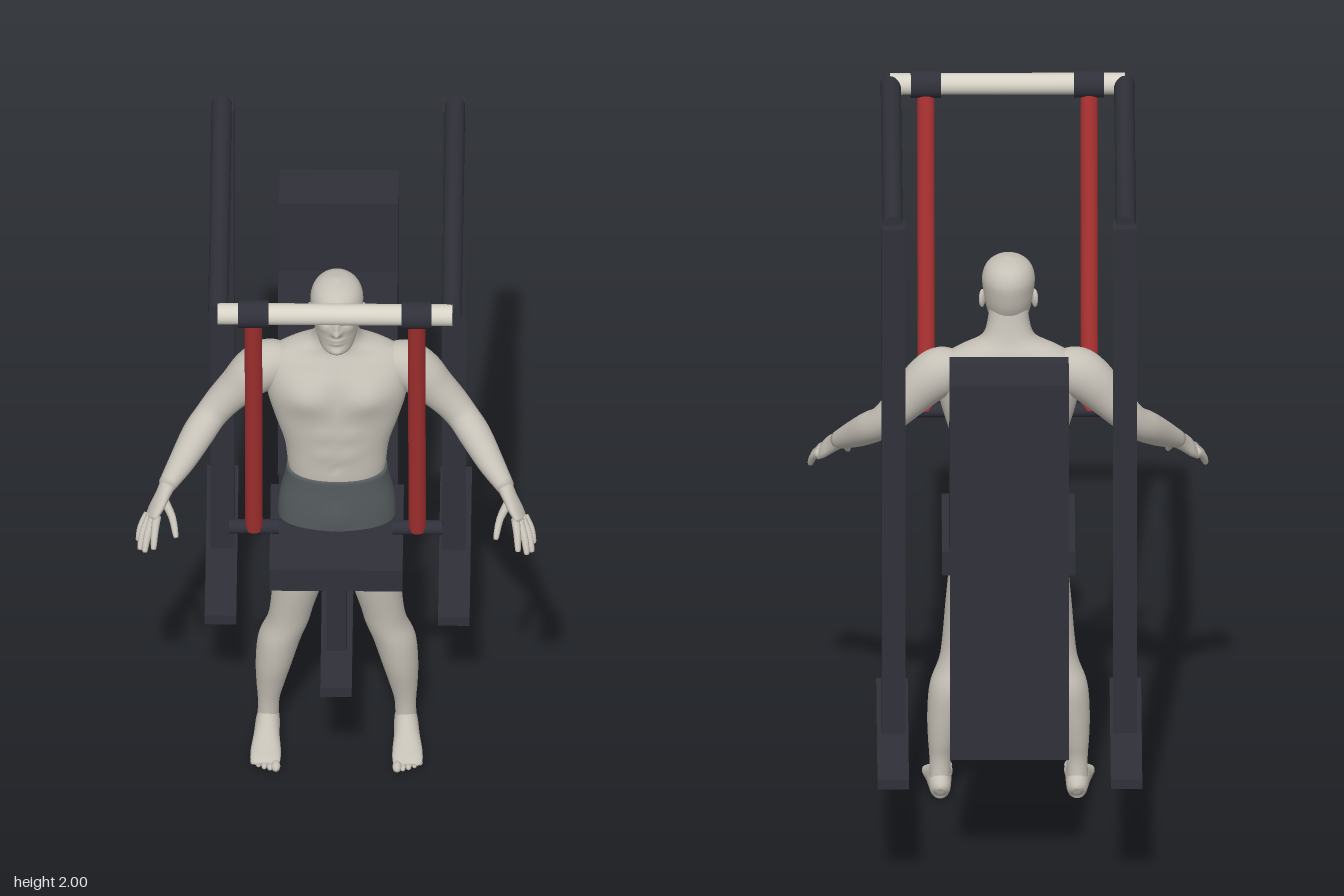
import * as THREE from 'three';

const mat = (name, color, extra = {}) => Object.assign(new THREE.MeshStandardMaterial({ color, ...extra }), { name });
const frame = mat('dark frame', 0x30303a);
const red = mat('red steel', 0xa93131);
const bar = mat('pale bar', 0xd6d2c6);
const skin = mat('grey skin', 0xc6c1b7);
const cloth = mat('dark cloth', 0x565d5f);

function add(parent, name, geometry, material, x = 0, y = 0, z = 0) {
  const mesh = new THREE.Mesh(geometry, material);
  mesh.name = name;
  mesh.position.set(x, y, z);
  parent.add(mesh);
  return mesh;
}

// Box given by its limits on each axis
function block(parent, name, material, [x0, x1], [y0, y1], [z0, z1]) {
  return add(parent, name, new THREE.BoxGeometry(x1 - x0, y1 - y0, z1 - z0), material,
    (x0 + x1) / 2, (y0 + y1) / 2, (z0 + z1) / 2);
}

// Round rod between two points
function rod(parent, name, material, from, to, radius) {
  const a = new THREE.Vector3(...from), b = new THREE.Vector3(...to);
  const d = b.clone().sub(a);
  const mesh = add(parent, name, new THREE.CylinderGeometry(radius, radius, d.length(), 28), material);
  mesh.position.copy(a).add(b).multiplyScalar(0.5);
  mesh.quaternion.setFromUnitVectors(new THREE.Vector3(0, 1, 0), d.normalize());
  return mesh;
}

// Smooth skin through rows of [x, y, z, half width, half depth]; level rings unless ref is given
function loft(rows, { ref = null, sides = 32, steps = 5, power = 2 } = {}) {
  const path = new THREE.CatmullRomCurve3(rows.map(r => new THREE.Vector3(r[0], r[1], r[2])), false, 'catmullrom');
  const size = new THREE.CatmullRomCurve3(rows.map(r => new THREE.Vector3(r[3], r[4], 0)), false, 'catmullrom');
  const n = (rows.length - 1) * steps, pos = [], index = [];
  const bend = c => Math.sign(c) * Math.abs(c) ** (2 / power);
  for (let i = 0; i <= n; i++) {
    const p = path.getPoint(i / n), s = size.getPoint(i / n);
    const t = ref ? path.getTangent(i / n) : new THREE.Vector3(0, 1, 0);
    const u = t.clone().cross(ref || new THREE.Vector3(0, 0, 1)).normalize();
    const v = u.clone().cross(t);
    for (let j = 0; j < sides; j++) {
      const a = (j / sides) * Math.PI * 2;
      const q = p.clone().addScaledVector(u, s.x * bend(Math.cos(a))).addScaledVector(v, s.y * bend(Math.sin(a)));
      pos.push(q.x, q.y, q.z);
      if (i < n) {
        const k = i * sides + j, m = i * sides + (j + 1) % sides;
        index.push(k, k + sides, m, m, k + sides, m + sides);
      }
    }
  }
  // End caps
  const first = pos.length / 3, top = n * sides;
  pos.push(...rows[0].slice(0, 3), ...rows[rows.length - 1].slice(0, 3));
  for (let j = 0; j < sides; j++) {
    const m = (j + 1) % sides;
    index.push(first, j, m, first + 1, top + m, top + j);
  }
  const g = new THREE.BufferGeometry();
  g.setAttribute('position', new THREE.Float32BufferAttribute(pos, 3));
  g.setIndex(index);
  g.computeVertexNormals();
  return g;
}

// Soft mirrored bumps [x, y, width, height, push, side]; side 1 is front, -1 is back
function sculpt(g, zMid, bumps) {
  const p = g.attributes.position;
  for (let i = 0; i < p.count; i++) {
    const x = Math.abs(p.getX(i)), y = p.getY(i), z = p.getZ(i);
    let dz = 0;
    for (const [bx, by, w, h, push, side] of bumps) {
      const facing = THREE.MathUtils.clamp((z - zMid) * side / 0.05, 0, 1);
      dz += side * push * facing * Math.exp(-(((x - bx) / w) ** 2) - ((y - by) / h) ** 2);
    }
    p.setZ(i, z + dz);
  }
  g.computeVertexNormals();
  return g;
}

function buildMachine() {
  const g = new THREE.Group();
  g.name = 'machine';
  for (const s of [-1, 1]) {
    // Side frame
    const span = (a, b) => (s > 0 ? [a, b] : [-b, -a]);
    block(g, 'frameFoot', frame, span(0.288, 0.378), [0.355, 0.386], [-0.69, -0.0 + 0.012]);
    block(g, 'upright', frame, span(0.296, 0.364), [0.37, 1.965], [-0.37, -0.302]);
    rod(g, 'topBeam', frame, [s * 0.333, 1.963, -0.34], [s * 0.333, 1.963, 0.643], 0.029);
    // Swinging arm
    rod(g, 'collar', frame, [s * 0.19, 1.963, 0.64], [s * 0.276, 1.963, 0.64], 0.04);
    rod(g, 'swingArm', red, [s * 0.233, 1.963, 0.64], [s * 0.233, 1.035, 0.435], 0.025);
    rod(g, 'handle', frame, [s * 0.162, 1.035, 0.432], [s * 0.304, 1.035, 0.432], 0.021);
  }
  rod(g, 'crossBar', bar, [-0.335, 1.963, 0.64], [0.335, 1.963, 0.64], 0.031);

  // Seat and backrest
  block(g, 'seat', frame, [-0.19, 0.19], [0.737, 0.811], [-0.055, 0.347]);
  block(g, 'seatPost', frame, [-0.029, 0.029], [0.37, 0.74], [0.116, 0.174]);
  block(g, 'seatFoot', frame, [-0.045, 0.045], [0.355, 0.386], [-0.24, 0.347]);
  block(g, 'backPost', frame, [-0.029, 0.029], [0.37, 1.15], [-0.234, -0.178]);
  const back = add(g, 'backrest', new THREE.BoxGeometry(0.34, 0.612, 0.086), frame, 0, 1.153, -0.132);
  back.rotation.x = -0.174;

  // Weight stack
  block(g, 'weightTower', frame, [-0.17, 0.17], [0.386, 1.558], [-0.556, -0.398]);
  for (let i = 0; i < 9; i++) {
    const y = 0.382 + i * 0.0415;
    block(g, 'weightPlate', frame, [-0.13, 0.13], [y, y + 0.032], [-0.4, -0.363]);
  }
  block(g, 'topPlate', red, [-0.13, 0.13], [0.756, 0.788], [-0.4, -0.363]);
  return g;
}

function buildLimbs(g, s) {
  const side = rows => rows.map(([x, ...rest]) => [s * x, ...rest]);
  const Z = new THREE.Vector3(0, 0, 1), Y = new THREE.Vector3(0, 1, 0);

  // Arm and palm
  add(g, 'arm', loft(side([
    [0.14, 1.345, 0.05, 0.05, 0.05], [0.19, 1.333, 0.05, 0.07, 0.066], [0.235, 1.3, 0.05, 0.069, 0.066],
    [0.28, 1.25, 0.052, 0.058, 0.058], [0.325, 1.2, 0.058, 0.05, 0.052], [0.36, 1.16, 0.075, 0.046, 0.046],
    [0.395, 1.125, 0.115, 0.046, 0.047], [0.44, 1.075, 0.18, 0.038, 0.039], [0.485, 1.03, 0.24, 0.025, 0.027],
  ]), { ref: Z }), skin);
  add(g, 'palm', loft(side([
    [0.478, 1.037, 0.23, 0.024, 0.026], [0.497, 1.01, 0.262, 0.019, 0.033],
    [0.514, 0.988, 0.29, 0.017, 0.04], [0.53, 0.966, 0.315, 0.012, 0.036],
  ]), { ref: Z, sides: 20 }), skin);

  // Fingers and thumb, as base, middle and tip
  const fingers = [
    [[0.512, 0.982, 0.322], [0.517, 0.962, 0.362], [0.52, 0.926, 0.395]],
    [[0.522, 0.977, 0.315], [0.537, 0.95, 0.36], [0.545, 0.912, 0.39]],
    [[0.53, 0.972, 0.303], [0.55, 0.944, 0.342], [0.559, 0.906, 0.37]],
    [[0.537, 0.968, 0.29], [0.556, 0.943, 0.316], [0.564, 0.912, 0.338]],
    [[0.492, 1.0, 0.265], [0.468, 0.98, 0.32], [0.457, 0.945, 0.362]],
  ];
  for (const [a, b, c] of fingers) {
    const tip = c.map((v, i) => v + (c[i] - b[i]) * 0.12);
    add(g, 'finger', loft(side([[...a, 0.013, 0.013], [...b, 0.011, 0.011], [...c, 0.008, 0.008], [...tip, 0.002, 0.002]]),
      { ref: Z, sides: 10, steps: 3 }), skin);
  }

  // Leg
  add(g, 'leg', loft(side([
    [0.197, 0.04, 0.045, 0.03, 0.035], [0.195, 0.12, 0.05, 0.031, 0.035], [0.19, 0.18, 0.05, 0.04, 0.046],
    [0.18, 0.26, 0.053, 0.052, 0.061], [0.164, 0.35, 0.055, 0.061, 0.07], [0.14, 0.42, 0.064, 0.06, 0.065],
    [0.128, 0.48, 0.07, 0.062, 0.066], [0.106, 0.6, 0.073, 0.074, 0.083], [0.09, 0.72, 0.073, 0.079, 0.092],
    [0.085, 0.8, 0.07, 0.078, 0.09],
  ])), skin);

  // Foot, flattened on the ground
  const foot = loft(side([
    [0.195, 0.03, 0.0, 0.008, 0.012], [0.195, 0.036, 0.012, 0.027, 0.034], [0.197, 0.046, 0.055, 0.034, 0.047],
    [0.2, 0.036, 0.11, 0.037, 0.037], [0.202, 0.023, 0.165, 0.043, 0.023], [0.203, 0.015, 0.21, 0.042, 0.013],
    [0.203, 0.012, 0.222, 0.03, 0.006],
  ]), { ref: Y });
  const p = foot.attributes.position;
  for (let i = 0; i < p.count; i++) p.setY(i, Math.max(0, p.getY(i)));
  foot.computeVertexNormals();
  add(g, 'foot', foot, skin);
  for (let i = 0; i < 5; i++) {
    const r = i ? 0.0095 - i * 0.0005 : 0.0135;
    const toe = add(g, 'toe', new THREE.SphereGeometry(r, 12, 8), skin, s * (0.173 + i * 0.0165), r, 0.229 - i * i * 0.0018);
    toe.scale.z = 1.7;
  }

  // Ear
  const ear = add(g, 'ear', new THREE.SphereGeometry(1, 16, 12), skin, s * 0.075, 1.545, 0.082);
  ear.scale.set(0.009, 0.028, 0.017);
  ear.rotation.y = -s * 0.3;
}

function buildFigure() {
  const g = new THREE.Group();
  g.name = 'figure';
  // Torso and neck with chest, stomach and shoulder blades
  add(g, 'torso', sculpt(loft([
    [0, 0.94, 0.07, 0.13, 0.085], [0, 1.0, 0.07, 0.14, 0.09], [0, 1.08, 0.07, 0.15, 0.092],
    [0, 1.17, 0.068, 0.178, 0.097], [0, 1.25, 0.066, 0.199, 0.1], [0, 1.32, 0.06, 0.205, 0.094],
    [0, 1.37, 0.052, 0.195, 0.078], [0, 1.405, 0.05, 0.145, 0.062], [0, 1.435, 0.057, 0.08, 0.054],
    [0, 1.48, 0.068, 0.06, 0.052], [0, 1.54, 0.078, 0.056, 0.05],
  ], { sides: 64, power: 2.2 }), 0.06, [
    [0.09, 1.28, 0.065, 0.05, 0.018, 1], [0, 1.28, 0.015, 0.08, -0.008, 1],
    [0.035, 1.15, 0.03, 0.025, 0.005, 1], [0.035, 1.08, 0.03, 0.025, 0.005, 1],
    [0, 1.03, 0.012, 0.012, -0.006, 1], [0.09, 1.3, 0.06, 0.07, 0.01, -1], [0, 1.2, 0.02, 0.15, -0.01, -1],
  ]), skin);

  // Shorts
  add(g, 'shorts', sculpt(loft([
    [0, 0.755, 0.068, 0.165, 0.09], [0, 0.82, 0.066, 0.168, 0.096], [0, 0.88, 0.065, 0.163, 0.099],
    [0, 0.94, 0.067, 0.15, 0.097], [0, 0.985, 0.07, 0.143, 0.094],
  ], { sides: 48, power: 2.3 }), 0.065, [
    [0.08, 0.9, 0.06, 0.06, 0.014, -1], [0, 0.88, 0.018, 0.06, -0.012, -1], [0, 0.85, 0.035, 0.05, 0.008, 1],
  ]), cloth);

  // Head with brow, eye sockets, nose, lips, chin and cheeks
  add(g, 'head', sculpt(loft([
    [0, 1.446, 0.13, 0.025, 0.03], [0, 1.46, 0.122, 0.044, 0.054], [0, 1.49, 0.108, 0.057, 0.07],
    [0, 1.53, 0.099, 0.067, 0.083], [0, 1.57, 0.096, 0.073, 0.091], [0, 1.61, 0.094, 0.075, 0.093],
    [0, 1.642, 0.093, 0.064, 0.079], [0, 1.662, 0.092, 0.04, 0.05], [0, 1.672, 0.092, 0.005, 0.006],
  ], { sides: 80, steps: 8 }), 0.11, [
    [0, 1.54, 0.013, 0.012, 0.02, 1], [0, 1.562, 0.009, 0.018, 0.011, 1], [0.029, 1.573, 0.014, 0.009, -0.011, 1],
    [0.028, 1.592, 0.02, 0.007, 0.005, 1], [0, 1.511, 0.02, 0.005, 0.007, 1], [0, 1.498, 0.017, 0.005, 0.007, 1],
    [0, 1.468, 0.02, 0.012, 0.008, 1], [0.042, 1.545, 0.014, 0.014, 0.004, 1],
  ]), skin);

  for (const s of [-1, 1]) buildLimbs(g, s);
  return g;
}

export function createModel() {
  const model = new THREE.Group();
  model.name = 'chestPressStation';
  model.add(buildMachine(), buildFigure());
  return model;
}
